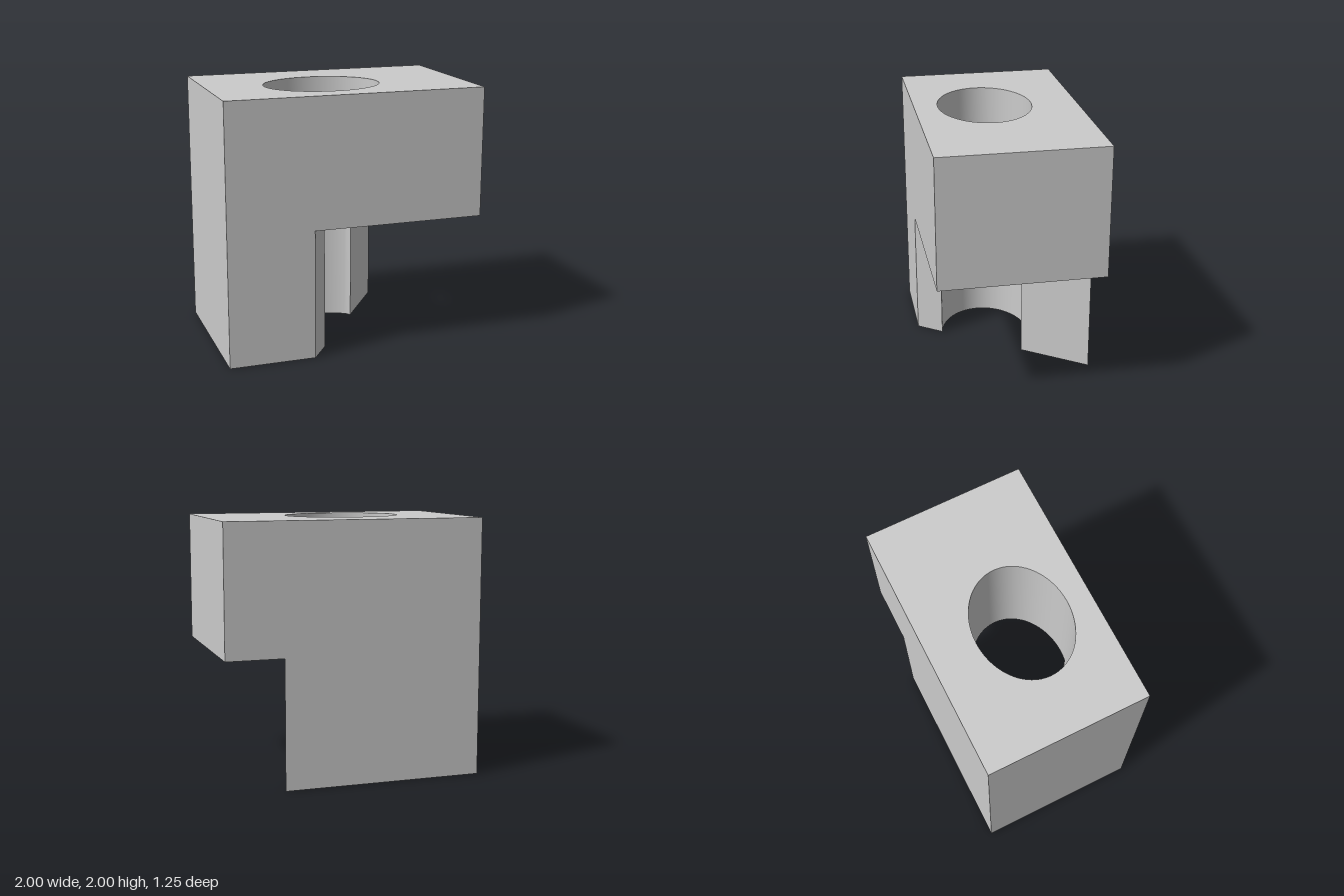
import * as THREE from 'three';
import { toCreasedNormals } from 'three/addons/utils/BufferGeometryUtils.js';

const HALF_W = 1, HALF_D = 0.625, STOREY = 1;
const SHAFT = { x: -0.11, y: -0.085, rx: 0.45, ry: 0.36 };
const rad = THREE.MathUtils.degToRad;

// Extrudes a plan outline (x, -z) upwards by one storey from height y
function storey(name, shape, y) {
  const geo = new THREE.ExtrudeGeometry(shape, { depth: STOREY, bevelEnabled: false, curveSegments: 48 });
  geo.rotateX(-Math.PI / 2);
  const mesh = new THREE.Mesh(
    toCreasedNormals(geo, 0.3),
    new THREE.MeshStandardMaterial({ color: 0xcccccc })
  );
  mesh.name = name;
  mesh.position.y = y;
  return mesh;
}

export function createModel() {
  const group = new THREE.Group();
  group.name = 'blockWithShaft';

  // Upper block: full rectangle pierced by the oval shaft
  const upper = new THREE.Shape();
  upper.moveTo(-HALF_W, -HALF_D);
  upper.lineTo(HALF_W, -HALF_D);
  upper.lineTo(HALF_W, HALF_D);
  upper.lineTo(-HALF_W, HALF_D);
  upper.closePath();
  const hole = new THREE.Path();
  hole.absellipse(SHAFT.x, SHAFT.y, SHAFT.rx, SHAFT.ry, 0, Math.PI * 2, true);
  upper.holes.push(hole);
  group.add(storey('upperBlock', upper, STOREY));

  // Lower block: cut off on a slant, with the open half of the shaft
  const lower = new THREE.Shape();
  lower.moveTo(-HALF_W, -HALF_D);
  lower.lineTo(-0.335, -HALF_D);
  lower.lineTo(-0.2, -0.4375);
  lower.absellipse(SHAFT.x, SHAFT.y, SHAFT.rx, SHAFT.ry, rad(258), rad(48), true);
  lower.lineTo(0.217, 0.15);
  lower.lineTo(0.555, HALF_D);
  lower.lineTo(-HALF_W, HALF_D);
  lower.closePath();
  group.add(storey('lowerBlock', lower, 0));

  return group;
}
